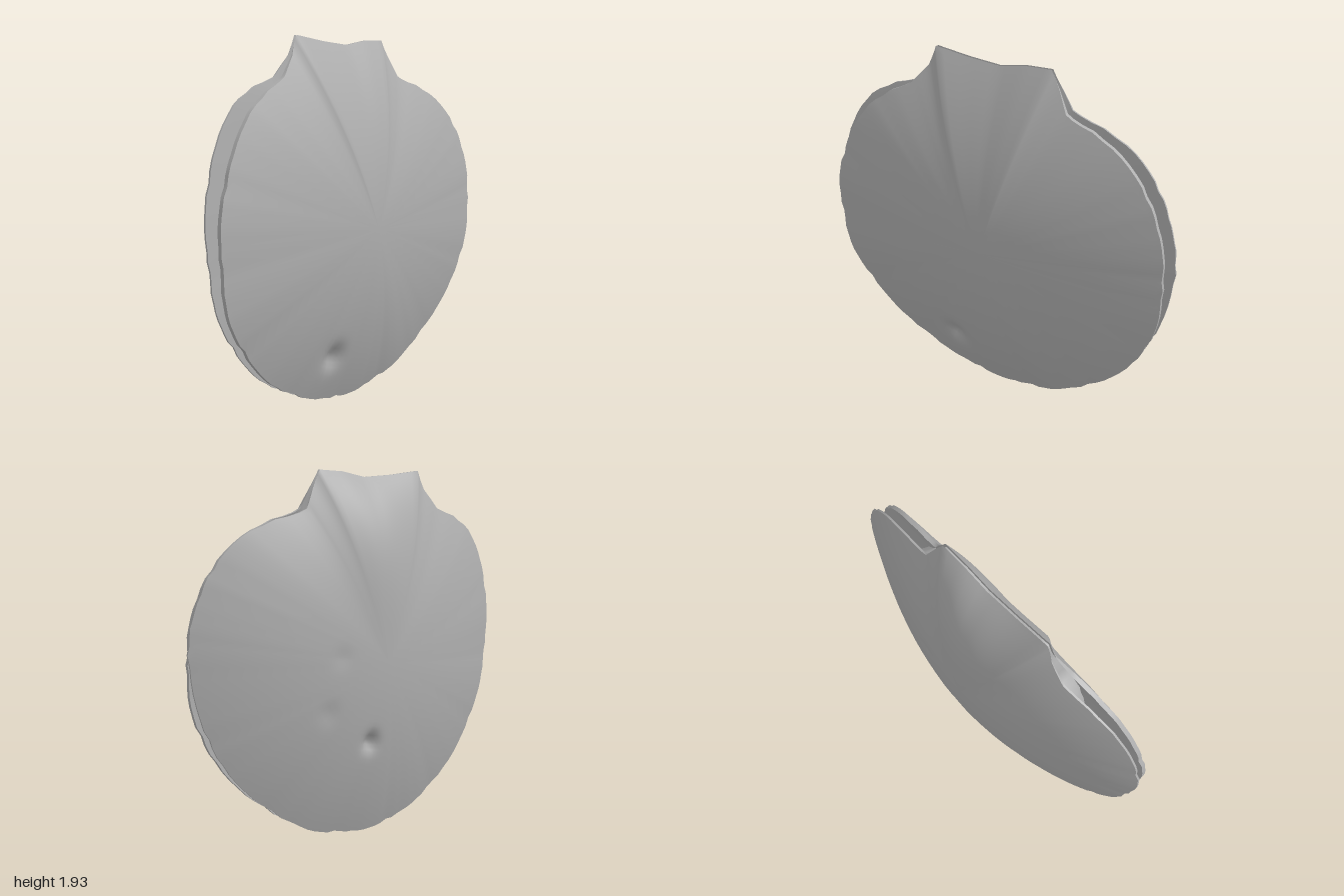
import * as THREE from 'three';
import { mergeVertices } from 'three/addons/utils/BufferGeometryUtils.js';

const CENTER_Y = 0.95;
const DOME = 0.22;
const V2 = (p) => new THREE.Vector2(p[0], p[1]);
const smooth = THREE.MathUtils.smoothstep;

// Rim of a valve, counterclockwise from the ear on the -x side
function outline(body) {
  const pts = new THREE.SplineCurve(body.map(V2)).getPoints(100);
  pts.forEach((p, j) => {
    const k = 1 - 0.012 * Math.sin(j * 1.1) ** 2 * Math.sin(j * 0.37) ** 2;
    p.set(p.x * k, CENTER_Y + (p.y - CENTER_Y) * k);
  });
  const ears = [[0.38, 1.73], [0.33, 1.83], [0.28, 1.92], [0.14, 1.915], [0, 1.89], [-0.18, 1.905],
    [-0.37, 1.93], [-0.41, 1.83], [-0.5, 1.73]].map(V2);
  for (let i = 0; i < ears.length - 1; i++) {
    for (let k = i ? 0 : 1; k < 4; k++) pts.push(ears[i].clone().lerp(ears[i + 1], k / 4));
  }
  return pts;
}

const lower = [[-0.95, 0.68], [-0.84, 0.47], [-0.64, 0.25], [-0.4, 0.1], [-0.2, 0.03], [0, 0],
  [0.2, 0.025], [0.4, 0.085], [0.65, 0.26], [0.85, 0.5], [0.95, 0.74]];
const frontRim = outline([[-0.5, 1.73], [-0.72, 1.61], [-0.88, 1.4], [-0.97, 1.17], [-0.985, 0.95],
  ...lower, [0.97, 1], [0.94, 1.22], [0.84, 1.45], [0.64, 1.63], [0.38, 1.73]]);
const backRim = outline([[-0.5, 1.73], [-0.75, 1.64], [-0.92, 1.43], [-1, 1.17], [-0.995, 0.92],
  ...lower, [1, 1.06], [0.96, 1.26], [0.87, 1.46], [0.68, 1.63], [0.38, 1.73]]);

// How far a rim point belongs to the closed hinge: 0 on the disc, 1 on the hinge line
const hinge = (p) => smooth(p.y, 1.7, 1.9);
const frontRimZ = (p) => (0.02 + 0.118 * p.x * p.x) * (1 - hinge(p));
const backRimZ = (p) => THREE.MathUtils.lerp(-0.06 + 0.105 * p.x * p.x, -0.015, hinge(p));

const dent = (x, y, cx, cy, size, depth) =>
  depth * Math.exp(-((x - cx) ** 2 + (y - cy) ** 2) / (size * size));

const at = (p, r, z) => new THREE.Vector3(p.x * r, CENTER_Y + (p.y - CENTER_Y) * r, z);

// Point on the outside of the front valve, r running from middle to rim
function frontOuter(p, r) {
  const up = (p.y - CENTER_Y) ** 2;
  const v = at(p, r, THREE.MathUtils.lerp(DOME, frontRimZ(p), r ** (1.6 + 0.5 * up)));
  v.z -= dent(v.x, v.y, -0.23, 0.29, 0.06, 0.04);
  return v;
}

// Point on the outside of the back valve, fuller toward the hinge
function backOuter(p, r) {
  const umbo = p.y > CENTER_Y ? 2 * Math.exp(-((p.x / 0.27) ** 2)) : 0;
  const v = at(p, r, THREE.MathUtils.lerp(-DOME, backRimZ(p), r ** (2 + umbo)));
  v.z += dent(v.x, v.y, 0.09, 0.53, 0.045, 0.04);
  v.z += dent(v.x, v.y, 0.35, 0.72, 0.05, 0.008) + dent(v.x, v.y, 0.28, 1.0, 0.05, 0.006);
  return v;
}

// Where the flat lips meet the inner body
function inset(p, front) {
  const k = THREE.MathUtils.lerp(0.7, 0.98, smooth(p.y, 1.45, 1.9));
  const x = p.x * k;
  const z = ((front ? 0.045 : -0.03) + 0.1 * x * x) * (1 - hinge(p)) - (front ? 0 : 0.012 * hinge(p));
  return at(p, k, z);
}

// Closed bands of points joined into a smooth surface
function sheet(rows) {
  const n = rows[0].length;
  const index = [];
  for (let i = 0; i < rows.length - 1; i++) {
    for (let j = 0; j < n; j++) {
      const k = (j + 1) % n;
      const a = i * n + j, b = a + n, c = (i + 1) * n + k, d = i * n + k;
      index.push(a, b, c, a, c, d);
    }
  }
  const g = new THREE.BufferGeometry().setFromPoints(rows.flat());
  g.setIndex(index);
  const merged = mergeVertices(g, 1e-5);
  merged.computeVertexNormals();
  return merged;
}

const mix = (rowA, rowB, steps) => Array.from({ length: steps + 1 }, (_, i) =>
  rowA.map((a, j) => a.clone().lerp(rowB[j], i / steps)));

export function createModel() {
  const group = new THREE.Group();
  group.name = 'scallopShell';
  const shell = new THREE.MeshStandardMaterial({ color: 0xb0b0b0, side: THREE.DoubleSide });
  shell.name = 'shellGrey';
  const add = (name, rows) => {
    const mesh = new THREE.Mesh(sheet(rows), shell);
    mesh.name = name;
    group.add(mesh);
  };

  const RINGS = 36;
  const rings = Array.from({ length: RINGS + 1 }, (_, i) => i / RINGS);
  const front = rings.map((r) => frontRim.map((p) => frontOuter(p, r)));
  const back = rings.map((r) => backRim.map((p) => backOuter(p, r))).reverse();
  const frontInset = frontRim.map((p) => inset(p, true));
  const backInset = backRim.map((p) => inset(p, false));

  // Thin lip edges behind the front rim and ahead of the back rim
  const edge = (row, rim, dz) => row.map((v, j) =>
    new THREE.Vector3(v.x, v.y, v.z + dz * (1 - hinge(rim[j]))));
  const frontLip = edge(front[RINGS], frontRim, -0.022);
  const backLip = edge(back[0], backRim, 0.01);

  add('frontValve', front);
  add('frontRimEdge', [front[RINGS], frontLip]);
  add('frontLip', mix(frontLip, frontInset, 4));
  add('innerBody', mix(frontInset, backInset, 3));
  add('backLip', mix(backInset, backLip, 4));
  add('backRimEdge', [backLip, back[0]]);
  add('backValve', back);
  return group;
}
